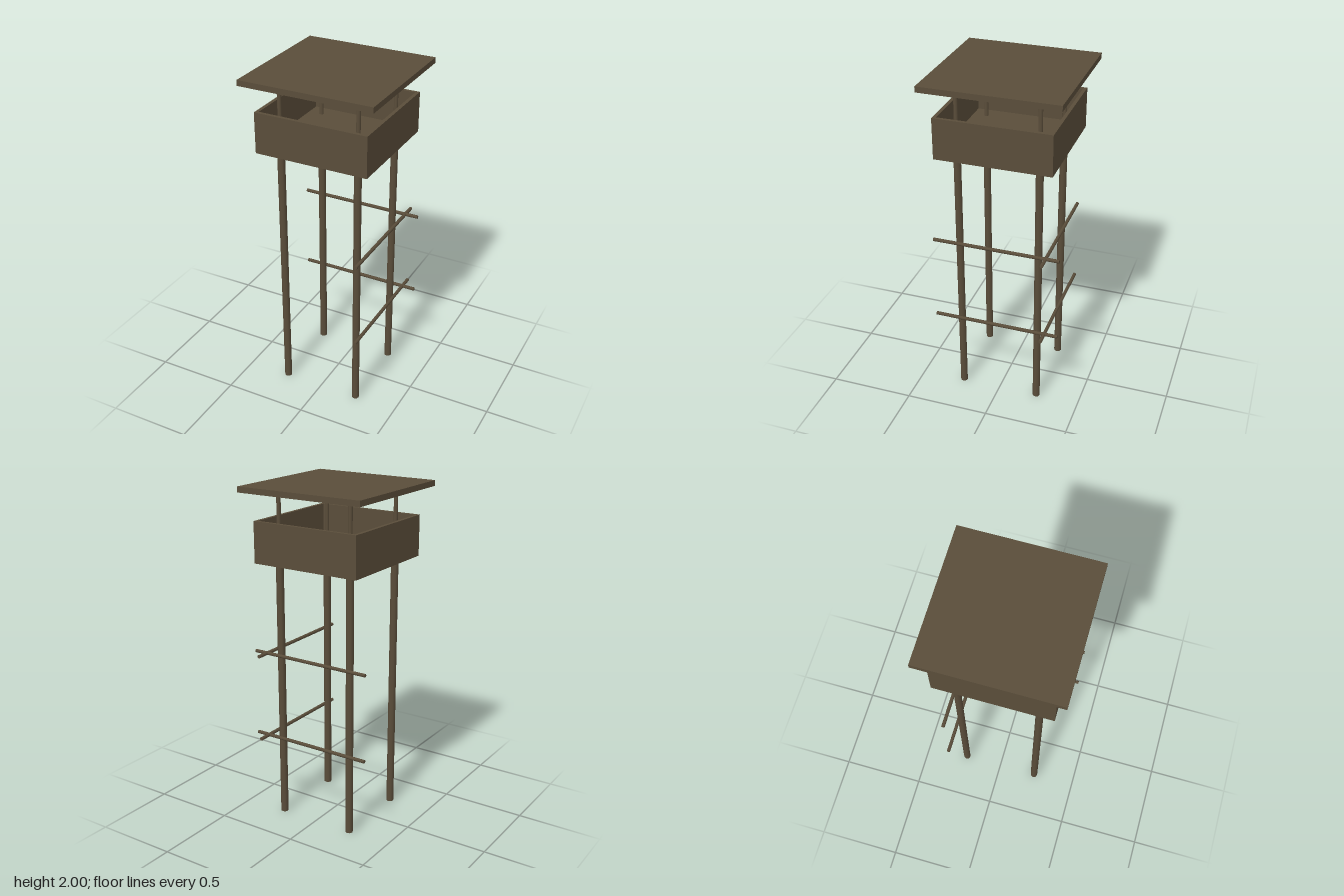
import * as THREE from 'three';

export function createModel() {
  const model = new THREE.Group();
  model.name = 'watchtower';
  const wood = new THREE.MeshStandardMaterial({ color: 0x5a4d3a });
  wood.name = 'weathered wood';

  const add = (name, geometry, x, y, z) => {
    const mesh = new THREE.Mesh(geometry, wood);
    mesh.name = name;
    mesh.position.set(x, y, z);
    model.add(mesh);
    return mesh;
  };
  const box = (name, w, h, d, x, y, z) => add(name, new THREE.BoxGeometry(w, h, d), x, y, z);
  const pole = (name, r, length, x, y, z) =>
    add(name, new THREE.CylinderGeometry(r, r, length, 8), x, y, z);

  // Four legs, and thinner posts above them carrying the roof
  const inset = 0.236, base = 1.567, rim = 1.807, roofBottom = 1.967;
  for (const sx of [-1, 1]) {
    for (const sz of [-1, 1]) {
      pole('leg', 0.0225, base, sx * inset, base / 2, sz * inset);
      pole('roofPost', 0.0125, roofBottom - 1.59, sx * inset, (roofBottom + 1.59) / 2, sz * inset);
    }
  }

  // Braces: on the back and on the left side only
  for (const y of [0.516, 1.032]) {
    pole('backBrace', 0.0105, 0.75, 0, y, -0.295).rotation.z = Math.PI / 2;
    pole('sideBrace', 0.0105, 0.75, 0.295, y, 0).rotation.x = Math.PI / 2;
  }

  // Open cabin: floor and four walls
  const width = 0.672, wall = 0.02, height = rim - base, mid = (rim + base) / 2;
  const offset = (width - wall) / 2;
  box('cabinFloor', width - 2 * wall, 0.033, width - 2 * wall, 0, base + 0.0165, 0);
  for (const s of [-1, 1]) {
    box('cabinWall', width, height, wall, 0, mid, s * offset);
    box('cabinSideWall', wall, height, width - 2 * wall, s * offset, mid, 0);
  }

  // Flat roof
  box('roof', 0.79, 2 - roofBottom, 0.79, 0, (2 + roofBottom) / 2, 0);

  return model;
}
